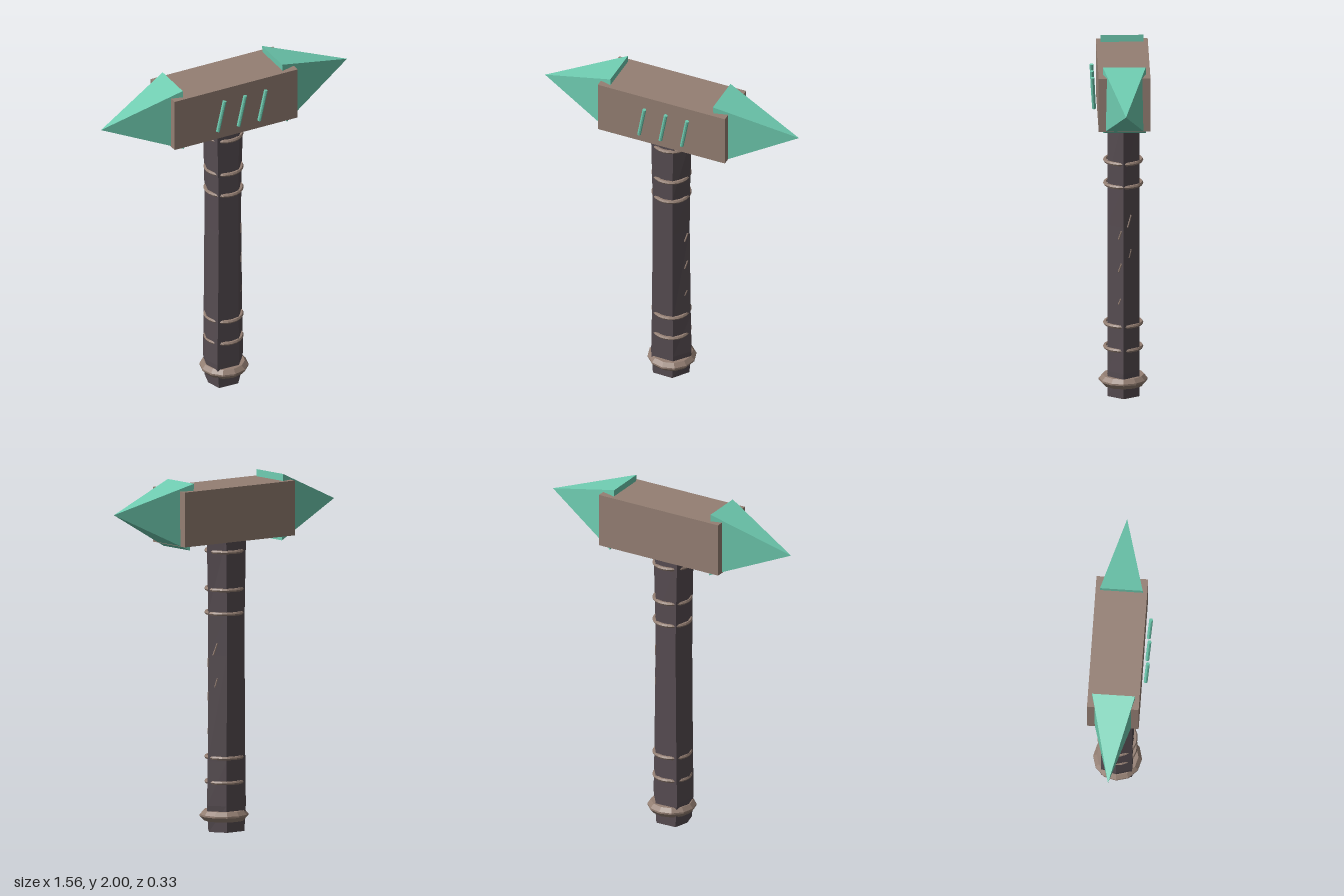
import * as THREE from 'three';
import { ConvexGeometry } from 'three/addons/geometries/ConvexGeometry.js';

const CZ = -0.02; // depth of the hammer's axis

const material = (name, color) => {
  const m = new THREE.MeshStandardMaterial({ color, flatShading: true });
  m.name = name;
  return m;
};

export function createModel() {
  const brown = material('warm brown', 0x947f73);
  const teal = material('teal', 0x6ecbb0);
  const dark = material('dark wood', 0x574d52);

  const group = new THREE.Group();
  group.name = 'warHammer';
  const add = (name, geometry, mat, x = 0, y = 0, z = 0) => {
    const mesh = new THREE.Mesh(geometry, mat);
    mesh.name = name;
    mesh.position.set(x, y, z);
    group.add(mesh);
    return mesh;
  };

  // Thin rod between two points
  const rod = (name, a, b, radius, mat) => {
    const p = new THREE.Vector3(...a), q = new THREE.Vector3(...b);
    const dir = q.clone().sub(p);
    const mesh = add(name, new THREE.CylinderGeometry(radius, radius, dir.length(), 8), mat);
    mesh.position.copy(p).add(q).multiplyScalar(0.5);
    mesh.quaternion.setFromUnitVectors(new THREE.Vector3(0, 1, 0), dir.normalize());
  };

  // Head block
  add('head', new THREE.BoxGeometry(0.78, 0.31, 0.29), brown, 0, 1.805, CZ);

  // Pyramid spikes with slightly tilted bases
  const spike = (name, topX, bottomX, apexX, apexY) => {
    const points = [new THREE.Vector3(apexX, apexY, CZ)];
    for (const z of [CZ - 0.12, CZ + 0.12]) {
      points.push(new THREE.Vector3(topX, 2, z), new THREE.Vector3(bottomX, 1.625, z));
    }
    add(name, new ConvexGeometry(points), teal);
  };
  spike('rightSpike', -0.325, -0.317, -0.78, 1.81);
  spike('leftSpike', 0.305, 0.335, 0.78, 1.85);

  // Slanted bars in front of the head
  for (let i = 0; i < 3; i++) {
    const x = -0.127 + i * 0.131;
    rod('frontBar', [x, 1.71, 0.146], [x + 0.037, 1.9, 0.156], 0.011, teal);
  }

  // Uneven six-sided handle, widened near both ends
  const section = [[0.11, 0], [0.042, 0.09], [-0.084, 0.087], [-0.108, 0], [-0.082, -0.088], [0.048, -0.09]];
  const levels = [[0, 0.95], [0.15, 1.08], [0.4, 1.03], [1, 0.97], [1.25, 0.98], [1.66, 1.09]];
  const at = (level, i) => {
    const [y, s] = levels[level];
    const [x, z] = section[i % 6];
    return [x * s + 0.002, y, z + CZ];
  };
  const verts = [];
  const top = levels.length - 1;
  for (let i = 0; i < 6; i++) {
    for (let l = 0; l < top; l++) {
      const p = at(l, i), q = at(l, i + 1), u = at(l + 1, i), v = at(l + 1, i + 1);
      verts.push(...p, ...u, ...q, ...q, ...u, ...v);
    }
    verts.push(0, 0, CZ, ...at(0, i), ...at(0, i + 1));
    verts.push(0, levels[top][0], CZ, ...at(top, i + 1), ...at(top, i));
  }
  const handle = new THREE.BufferGeometry();
  handle.setAttribute('position', new THREE.Float32BufferAttribute(verts, 3));
  handle.computeVertexNormals();
  add('handle', handle, dark);

  // Thin bands, with the handle's corners poking through
  for (const y of [0.28, 0.42, 1.235, 1.37, 1.585]) {
    const band = add('band', new THREE.TorusGeometry(0.102, 0.011, 6, 24), brown, -0.003, y, CZ);
    band.rotation.x = Math.PI / 2;
  }

  // Pommel collar
  const collar = [[0.09, 0.06], [0.115, 0.06], [0.137, 0.085], [0.137, 0.095], [0.117, 0.118], [0.09, 0.118], [0.09, 0.06]];
  add('pommelCollar', new THREE.LatheGeometry(collar.map(([r, y]) => new THREE.Vector2(r, y)), 12), brown, 0, 0, CZ);

  // Small slanted scratches on the handle's side: y and z of each end
  const scratches = [[0.93, 0.007, 0.98, -0.009], [1.0, -0.042, 1.07, -0.062], [0.82, -0.05, 0.87, -0.062],
    [0.74, 0.007, 0.79, -0.009], [0.55, 0.007, 0.585, -0.006]];
  const sideX = (z) => 0.109 - Math.abs(z - CZ) * 0.72;
  for (const [y0, z0, y1, z1] of scratches) {
    rod('scratch', [sideX(z0), y0, z0], [sideX(z1), y1, z1], 0.005, brown);
  }

  return group;
}
